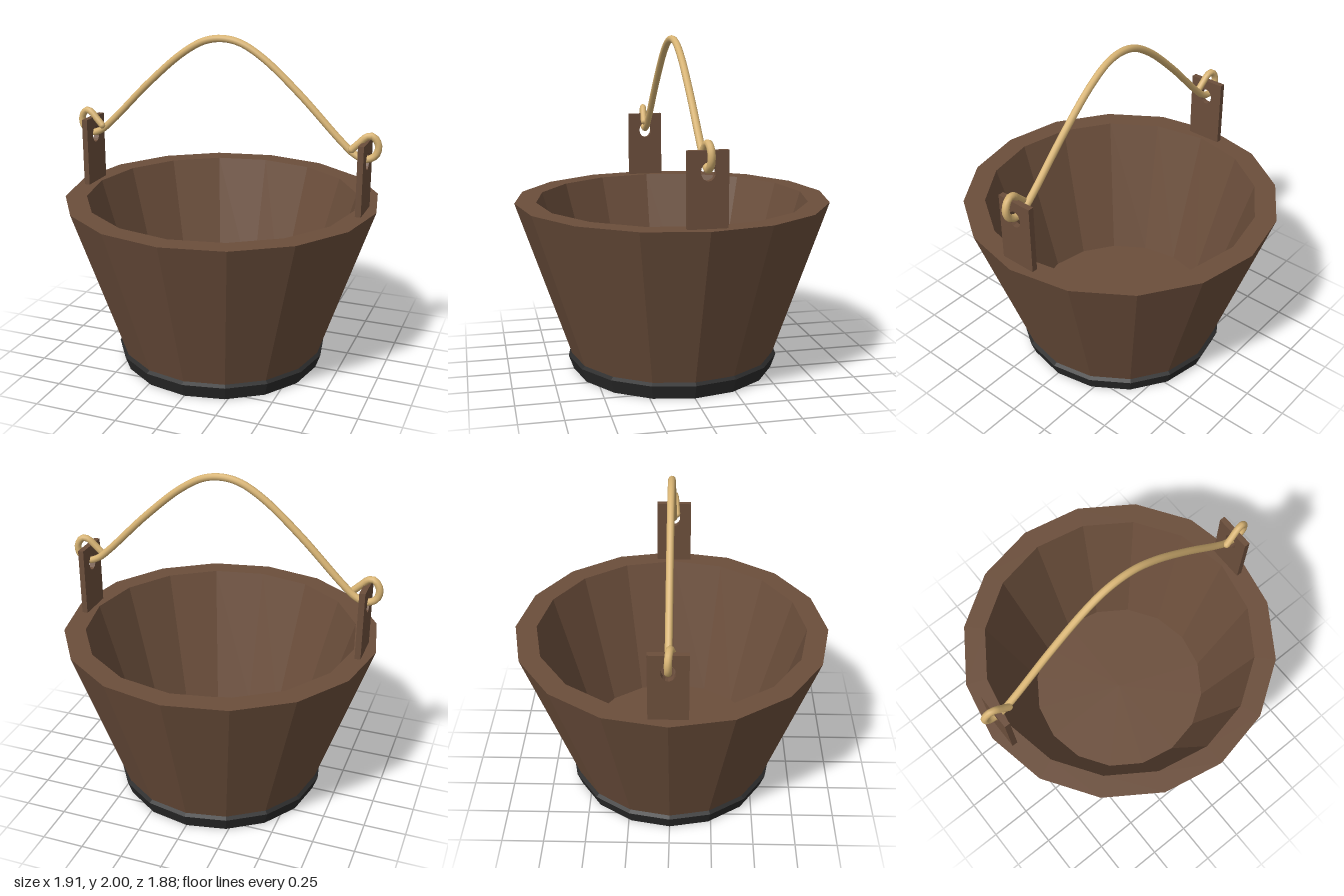
import * as THREE from 'three';

const SIDES = 16;
const wood = new THREE.MeshStandardMaterial({ color: 0x6b4e3b, flatShading: true });
const dark = new THREE.MeshStandardMaterial({ color: 0x2a2a2a, flatShading: true });
const brass = new THREE.MeshStandardMaterial({ color: 0xd8b474 });

function add(group, name, geometry, material) {
  const mesh = new THREE.Mesh(geometry, material);
  mesh.name = name;
  group.add(mesh);
  return mesh;
}

// Faceted solid of revolution from [radius, height] pairs, listed bottom to top on the outside
function turned(points) {
  return new THREE.LatheGeometry(points.map(([r, y]) => new THREE.Vector2(r, y)), SIDES);
}

// Upright plate with an eyelet for the handle
function earGeometry() {
  const shape = new THREE.Shape();
  shape.moveTo(-0.11, 1.04);
  shape.lineTo(0.11, 1.04);
  shape.lineTo(0.11, 1.45);
  shape.lineTo(-0.11, 1.45);
  shape.closePath();
  const hole = new THREE.Path();
  hole.absellipse(0, 1.34, 0.04, 0.05, 0, Math.PI * 2, true);
  shape.holes.push(hole);
  const geometry = new THREE.ExtrudeGeometry(shape, { depth: 0.034, bevelEnabled: false, curveSegments: 8 });
  return geometry.translate(0, 0, -0.017).rotateY(Math.PI / 2);
}

// Bail: one wire arching over the bucket, curling through an eyelet at each end
function handleGeometry() {
  const half = [
    [0.785, 1.405, 0.02], [0.83, 1.45, 0.015], [0.865, 1.483, 0.01], [0.9, 1.487, 0.005],
    [0.932, 1.44, 0], [0.92, 1.38, 0], [0.865, 1.35, 0], [0.8, 1.372, 0],
    [0.72, 1.44, 0], [0.47, 1.69, 0], [0.25, 1.88, 0], [0.11, 1.96, 0],
  ];
  const points = half.map(([x, y, z]) => new THREE.Vector3(x, y, z));
  const mirrored = half.map(([x, y, z]) => new THREE.Vector3(-x, y, z)).reverse();
  const curve = new THREE.CatmullRomCurve3([...points, new THREE.Vector3(0, 1.979, 0), ...mirrored]);
  return new THREE.TubeGeometry(curve, 120, 0.021, 10);
}

export function createModel() {
  const model = new THREE.Group();
  model.name = 'bucket';

  // Tapered wall, flat rim, inner wall and inner floor
  add(model, 'bucketBody', turned([
    [0.62, 0.095], [0.94, 1.04], [0.813, 1.04], [0.56, 0.2], [0, 0.2],
  ]), wood);

  // Dark foot, slightly proud of the wall
  add(model, 'baseBand', turned([
    [0, 0], [0.612, 0], [0.642, 0.085], [0.62, 0.1],
  ]), dark);

  // Matching ears standing on the rim
  for (const [name, side] of [['leftEar', 1], ['rightEar', -1]]) {
    add(model, name, earGeometry(), wood).position.x = side * 0.858;
  }

  add(model, 'handle', handleGeometry(), brass);

  // Rounded caps on the two wire ends
  for (const [name, side] of [['leftHandleTip', 1], ['rightHandleTip', -1]]) {
    add(model, name, new THREE.SphereGeometry(0.021, 10, 6), brass).position.set(side * 0.785, 1.405, 0.02);
  }

  return model;
}
